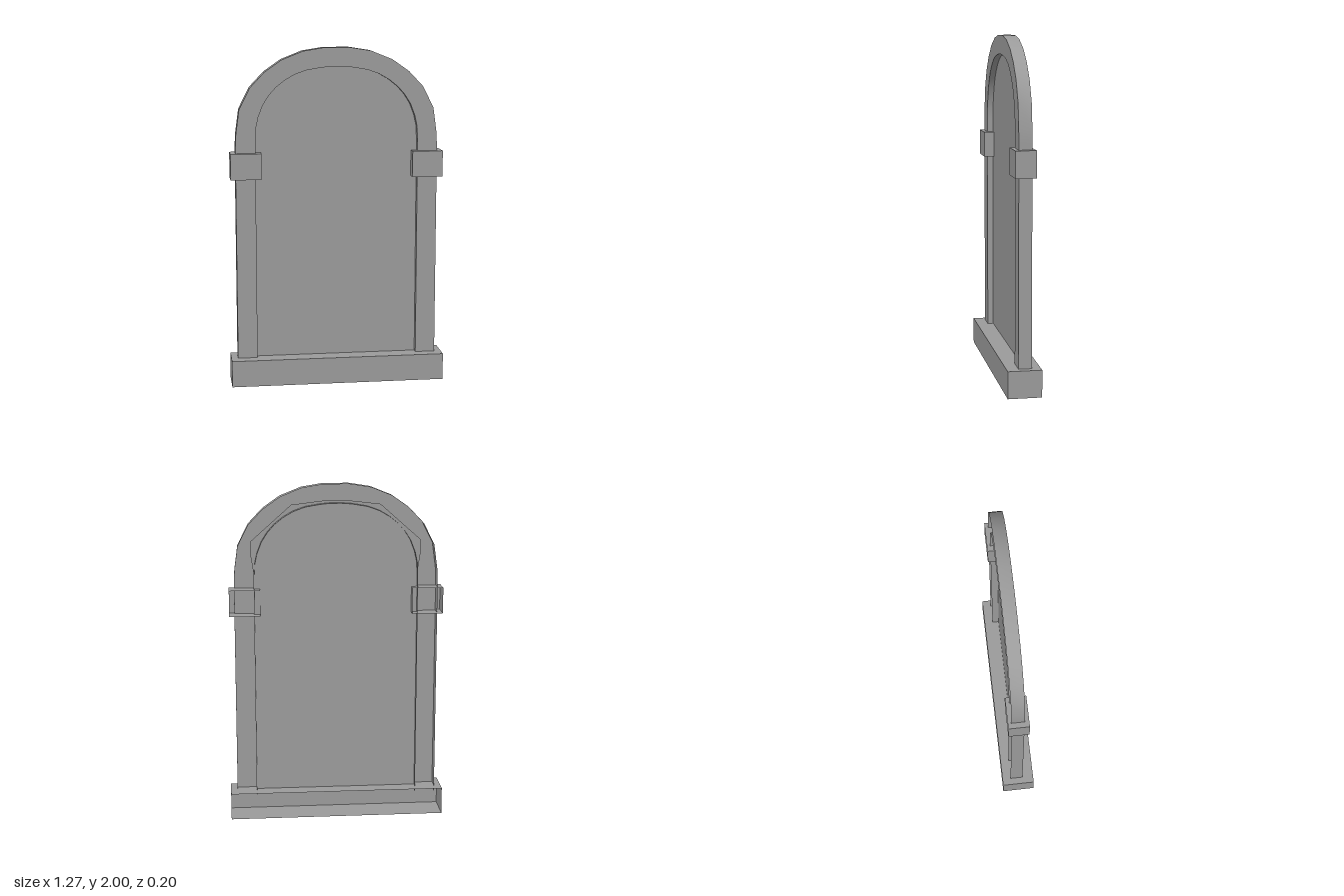
import * as THREE from 'three';

const material = new THREE.MeshStandardMaterial({ color: 0x9b9b9b, side: THREE.DoubleSide });

const FRAME_FRONT = 0.03, FRAME_BACK = -0.046, FRAME_BOTTOM = 0.125;

// Half outlines from the foot of the left column up to the crown
const OUTER = [[0.597, FRAME_BOTTOM], [0.597, 1.42], [0.593, 1.5], [0.573, 1.645], [0.51, 1.77],
  [0.425, 1.86], [0.325, 1.93], [0.2, 1.98], [0.075, 2]];
const INNER = [[0.48, FRAME_BOTTOM], [0.48, 1.46], [0.475, 1.54], [0.462, 1.6], [0.435, 1.67],
  [0.4, 1.725], [0.36, 1.77], [0.31, 1.81], [0.25, 1.845], [0.18, 1.87], [0.09, 1.885], [0.03, 1.89]];
const PANEL = [[0.482, 0.14], [0.482, 1.48], [0.497, 1.58], [0.497, 1.67], [0.26, 1.88], [0.05, 1.905]];

function mirrored(half) {
  const other = half.map(([x, y]) => [-x, y]).reverse();
  return [...half, ...other].map(([x, y]) => new THREE.Vector2(x, y));
}

function addMesh(parent, geometry, name) {
  const mesh = new THREE.Mesh(geometry, material);
  mesh.name = name;
  parent.add(mesh);
  return mesh;
}

// Wall that follows an outline from the front of the frame to its back
function wall(points, inward) {
  const positions = [], index = [];
  points.forEach((p, i) => {
    positions.push(p.x, p.y, FRAME_FRONT, p.x, p.y, FRAME_BACK);
    if (i === 0) return;
    const a = 2 * i - 2, b = a + 1, c = a + 2, d = a + 3;
    if (inward) index.push(a, c, b, b, c, d);
    else index.push(a, b, c, b, d, c);
  });
  const geometry = new THREE.BufferGeometry();
  geometry.setAttribute('position', new THREE.Float32BufferAttribute(positions, 3));
  geometry.setIndex(index);
  geometry.computeVertexNormals();
  return geometry;
}

// Box without its back face
function openBox(x0, x1, y0, y1, z0, z1) {
  const geometry = new THREE.BoxGeometry(x1 - x0, y1 - y0, z1 - z0);
  geometry.setIndex(Array.from(geometry.index.array).slice(0, 30));
  geometry.clearGroups();
  geometry.translate((x0 + x1) / 2, (y0 + y1) / 2, (z0 + z1) / 2);
  return geometry;
}

export function createModel() {
  const model = new THREE.Group();
  model.name = 'archedWindow';

  // Hollow arched frame, open at the back
  const frame = new THREE.Group();
  frame.name = 'archFrame';
  model.add(frame);
  const outer = mirrored(OUTER), inner = mirrored(INNER);
  const face = new THREE.ShapeGeometry(new THREE.Shape([...outer, ...inner.slice().reverse()]));
  face.translate(0, 0, FRAME_FRONT);
  addMesh(frame, face, 'frameFace');
  addMesh(frame, wall(outer, false), 'frameOuterWall');
  addMesh(frame, wall(inner, true), 'frameInnerWall');

  // Thin pane set back inside the frame
  const pane = new THREE.ShapeGeometry(new THREE.Shape(mirrored(PANEL)));
  pane.translate(0, 0, -0.005);
  addMesh(model, pane, 'pane');

  // Impost blocks around the columns
  addMesh(model, openBox(0.447, 0.628, 1.237, 1.39, -0.065, 0.055), 'leftBlock');
  addMesh(model, openBox(-0.628, -0.447, 1.237, 1.39, -0.065, 0.055), 'rightBlock');

  // Sill
  addMesh(model, openBox(-0.637, 0.637, 0, 0.158, -0.098, 0.098), 'sill');

  return model;
}
